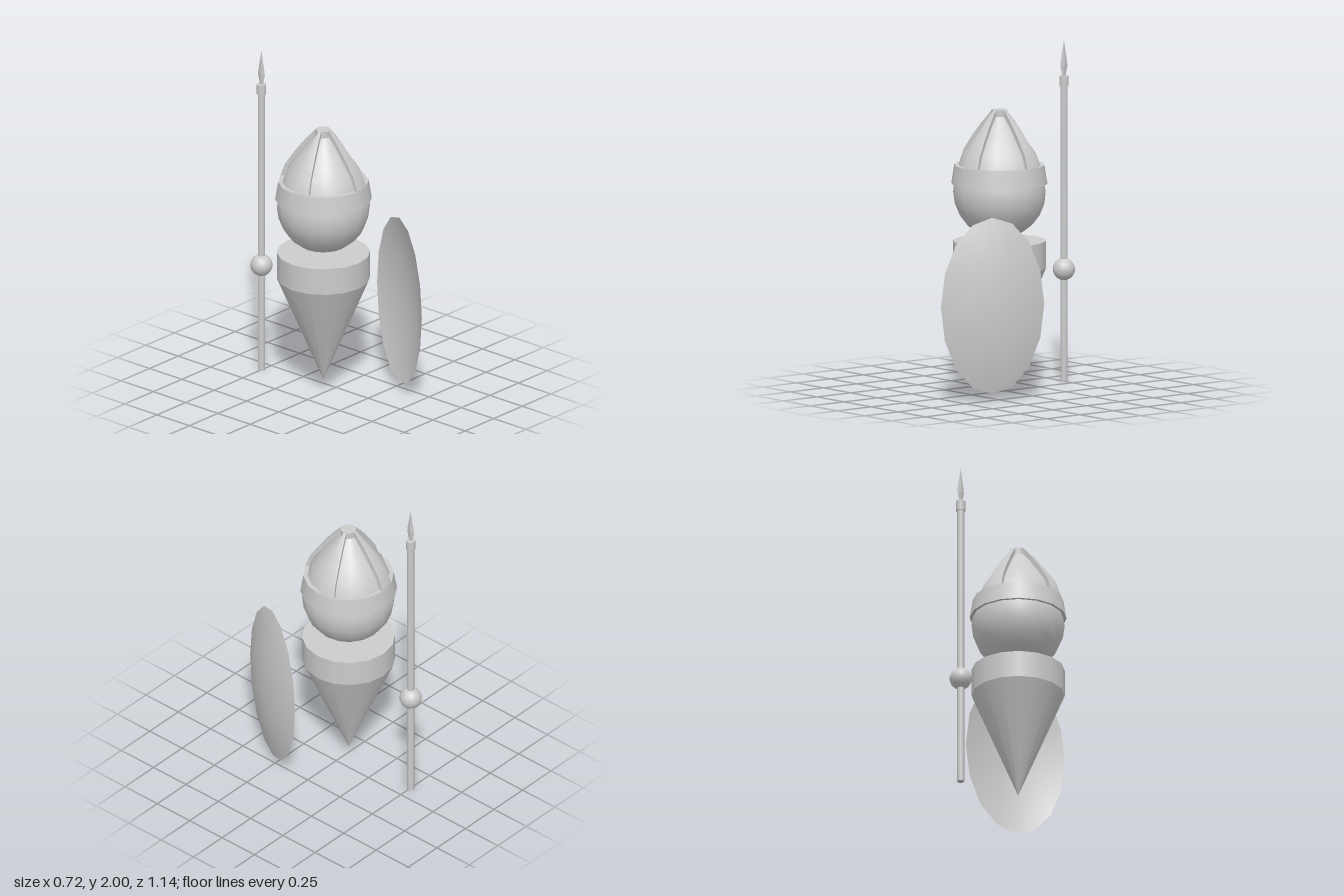
import * as THREE from 'three';

const CX = -0.083, CZ = -0.023; // axis of the figure
const SIDES = 16;
const STEP = (Math.PI * 2) / SIDES;
const mat = new THREE.MeshStandardMaterial({ color: 0xcccccc });
const thinMat = new THREE.MeshStandardMaterial({ color: 0xcccccc, side: THREE.DoubleSide });
const flatMat = new THREE.MeshStandardMaterial({ color: 0xcccccc, flatShading: true });

function add(parent, name, geometry, y = 0, material = mat) {
  const mesh = new THREE.Mesh(geometry, material);
  mesh.name = name;
  mesh.position.y = y;
  parent.add(mesh);
  return mesh;
}

function group(parent, name, x, z) {
  const g = new THREE.Group();
  g.name = name;
  g.position.set(x, 0, z);
  parent.add(g);
  return g;
}

const points = (list) => list.map(([r, y]) => new THREE.Vector2(r, y));
const lathe = (list, start = 0, steps = SIDES) =>
  new THREE.LatheGeometry(points(list), steps, start, steps * STEP);

// Helmet: rim band, four raised ribs and four sunken panels between them
function buildHelmet(parent) {
  const helmet = group(parent, 'helmet', 0, 0);
  const outer = [[0.263, 1.315], [0.237, 1.39], [0.18, 1.475], [0.115, 1.56], [0.045, 1.638]];
  const inner = [[0.238, 1.315], [0.212, 1.385], [0.158, 1.46], [0.097, 1.54], [0.04, 1.605]];

  add(helmet, 'helmetRim', lathe([[0.281, 1.205], [0.263, 1.315]]));
  add(helmet, 'helmetUnderside', lathe([[0.255, 1.205], [0.281, 1.205]]), 0, thinMat);
  add(helmet, 'helmetLedge', lathe([[0.263, 1.315], [0.238, 1.315]]), 0, thinMat);
  add(helmet, 'helmetTop', new THREE.CylinderGeometry(0.045, 0.045, 0.045, SIDES), 1.6155);

  const wall = new THREE.ShapeGeometry(new THREE.Shape(points([...outer, ...[...inner].reverse()])));
  for (let k = 0; k < 4; k++) {
    const start = k * Math.PI / 2;
    add(helmet, 'helmetRib', lathe(outer, start, 1));
    add(helmet, 'helmetPanel', lathe(inner, start + STEP, 3));
    for (const phi of [start, start + STEP]) {
      add(helmet, 'helmetRibSide', wall, 0, thinMat).rotation.y = phi - Math.PI / 2;
    }
  }
}

// Curved oval shield: a shallow spherical cap stretched upwards
function buildShield(parent) {
  const halfWidth = 0.31, halfHeight = 0.517, bulge = 0.068;
  const R = (halfWidth ** 2 + bulge ** 2) / (2 * bulge);
  const cap = new THREE.SphereGeometry(R, SIDES, 2, 0, Math.PI * 2, 0, Math.asin(halfWidth / R));
  cap.translate(0, bulge - R, 0);
  cap.rotateX(Math.PI / 2);
  cap.scale(1, halfHeight / halfWidth, 1);
  const shield = add(parent, 'shield', cap, 0.552, thinMat);
  shield.position.x = 0.235;
  shield.position.z = 0.284;
  shield.rotation.y = Math.atan2(0.915, 0.403);
}

// Spear with collar and a thin diamond blade, held by a round hand
function buildSpear(parent) {
  const spear = group(parent, 'spear', CX, -0.503);
  add(spear, 'spearShaft', new THREE.CylinderGeometry(0.021, 0.021, 1.75, SIDES), 0.875);
  add(spear, 'spearCollar', new THREE.CylinderGeometry(0.027, 0.027, 0.06, SIDES), 1.76);
  const blade = new THREE.LatheGeometry(
    points([[0.011, 1.785], [0.027, 1.85], [0.021, 1.89], [0.0001, 2]]), 4);
  blade.scale(0.28, 1, 1);
  add(spear, 'spearBlade', blade, 0, flatMat);
  add(spear, 'hand', new THREE.SphereGeometry(0.065, 16, 12), 0.657);
}

export function createModel() {
  const model = new THREE.Group();
  model.name = 'spearGuard';

  // Body: short drum over a long downward cone, floating head above
  const figure = group(model, 'figure', CX, CZ);
  add(figure, 'torso', new THREE.CylinderGeometry(0.271, 0.271, 0.16, SIDES), 0.79);
  add(figure, 'lowerBody', new THREE.CylinderGeometry(0.271, 0, 0.64, SIDES, 1, true), 0.39);
  add(figure, 'head', new THREE.SphereGeometry(0.27, 16, 12), 1.155);
  buildHelmet(figure);

  buildShield(model);
  buildSpear(model);
  return model;
}
